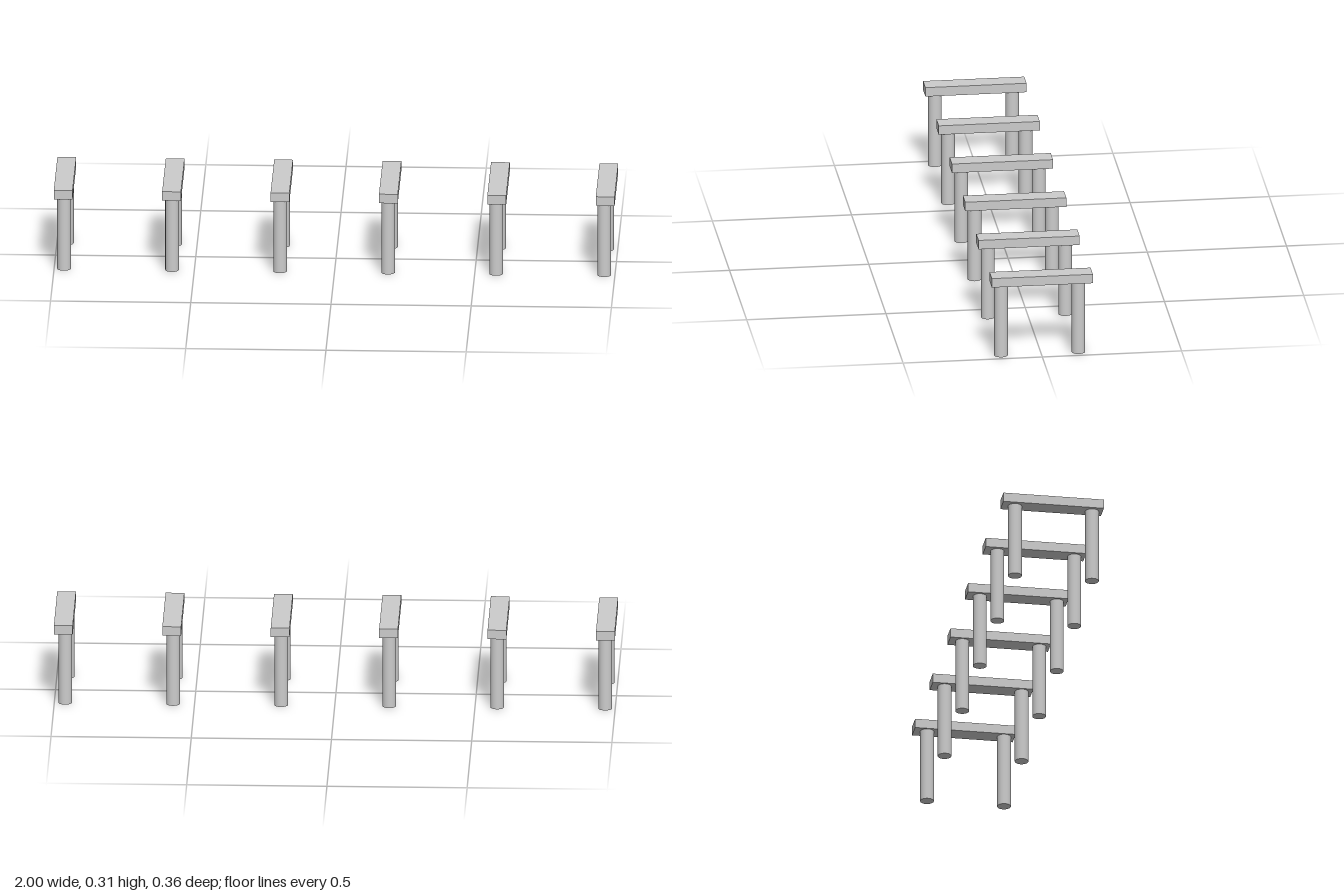
import * as THREE from 'three';

const COUNT = 6;
const COLUMN_HEIGHT = 0.273;
const BEAM = { width: 0.067, height: 0.034, depth: 0.363 };

export function createModel() {
  const model = new THREE.Group();
  model.name = 'colonnade';
  const material = new THREE.MeshStandardMaterial({ color: 0xcccccc });

  const columnGeometry = new THREE.CylinderGeometry(0.0245, 0.0245, COLUMN_HEIGHT, 32);
  const beamGeometry = new THREE.BoxGeometry(BEAM.width, BEAM.height, BEAM.depth);

  const addPart = (parent, name, geometry, x, y, z) => {
    const mesh = new THREE.Mesh(geometry, material);
    mesh.name = name;
    mesh.position.set(x, y, z);
    parent.add(mesh);
  };

  // A row of frames: two round columns carrying a crossbeam
  for (let i = 0; i < COUNT; i++) {
    const t = i / (COUNT - 1);
    const frame = new THREE.Group();
    frame.name = `frame${i + 1}`;
    frame.position.x = THREE.MathUtils.lerp(-0.9665, 0.9665, t);

    // Columns sit slightly off the beam centre, drifting along the row
    const columnX = THREE.MathUtils.lerp(0.002, -0.005, t);
    addPart(frame, 'frontColumn', columnGeometry, columnX, COLUMN_HEIGHT / 2, 0.144);
    addPart(frame, 'backColumn', columnGeometry, columnX, COLUMN_HEIGHT / 2, -0.134);
    addPart(frame, 'crossbeam', beamGeometry, 0, COLUMN_HEIGHT + BEAM.height / 2, 0);
    model.add(frame);
  }
  return model;
}
